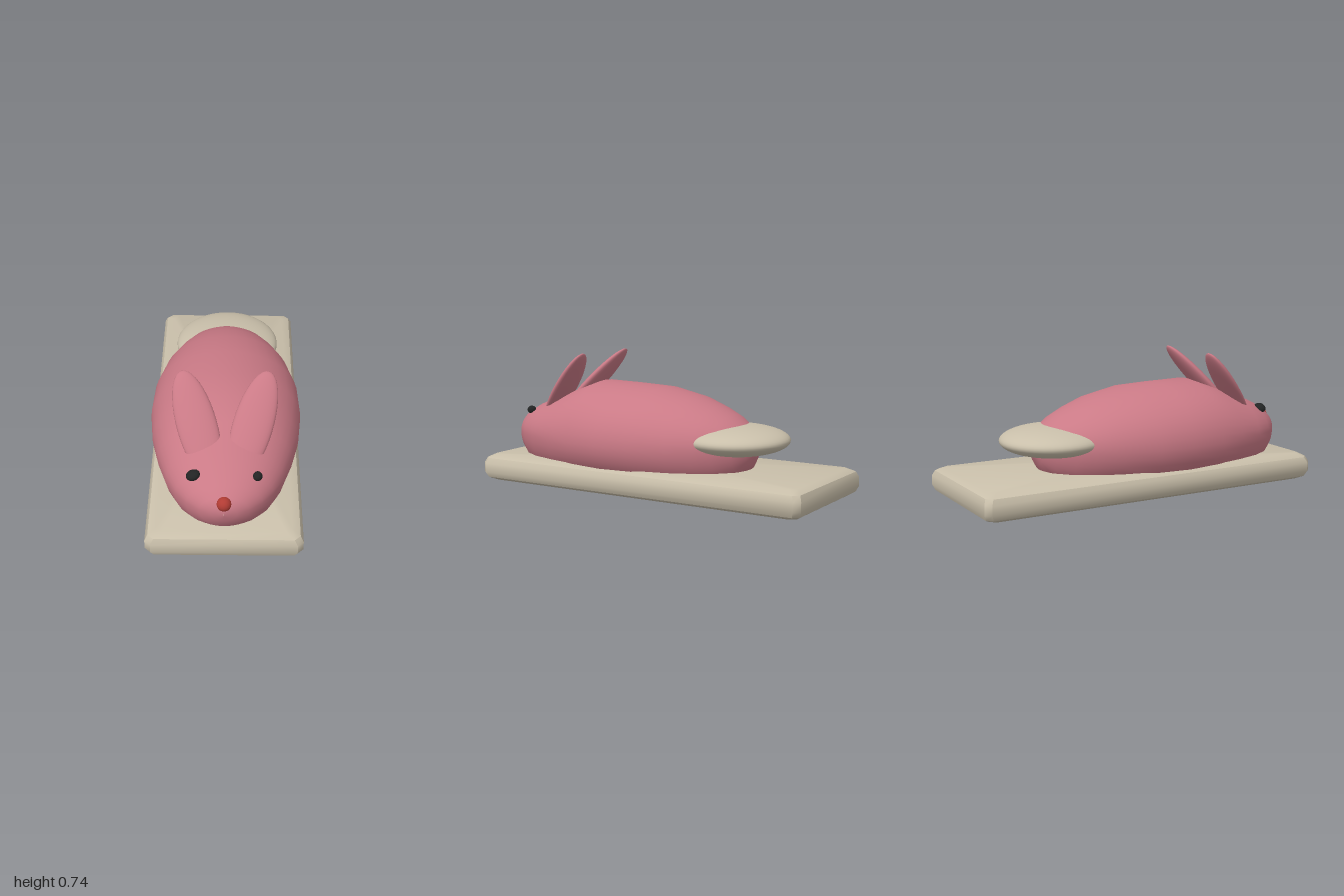
import * as THREE from 'three';
import { toCreasedNormals } from 'three/addons/utils/BufferGeometryUtils.js';

const material = (name, color) => {
  const m = new THREE.MeshStandardMaterial({ color });
  m.name = name;
  return m;
};

// Skins a list of closed rings (arrays of [x, y, z]) with shared vertices.
function loft(rings) {
  const n = rings[0].length;
  const index = [];
  for (let i = 0; i < rings.length - 1; i++) {
    for (let j = 0; j < n; j++) {
      const k = (j + 1) % n;
      const a = i * n + j, b = a + n, c = i * n + k, d = c + n;
      index.push(a, b, c, b, d, c);
    }
  }
  const geo = new THREE.BufferGeometry();
  geo.setAttribute('position', new THREE.Float32BufferAttribute(rings.flat(2), 3));
  geo.setIndex(index);
  geo.computeVertexNormals();
  return geo;
}

// Board: chamfered rectangles stacked upward, [y, inset]
function boardGeometry() {
  const levels = [[0, 0.06], [0.02, 0.018], [0.05, 0.002], [0.1, 0.002], [0.13, 0.018], [0.15, 0.06]];
  const c = 0.03;
  const rings = levels.map(([y, inset]) => {
    const x = 0.4 - inset, z = 1 - inset * 0.8;
    return [[x, z - c], [x - c, z], [c - x, z], [-x, z - c], [-x, c - z], [c - x, -z], [x - c, -z], [x, c - z]]
      .map(([px, pz]) => [px, y, pz]);
  });
  const centre = (y) => Array.from({ length: 8 }, () => [0, y, 0]);
  return toCreasedNormals(loft([centre(0), ...rings, centre(0.15)]), 0.6);
}

// Body: rounded sections from nose to rump, [z, half width, top, bottom]
function bodyGeometry() {
  const sections = [
    [0.953, 0.001, 0.28, 0.26], [0.945, 0.065, 0.32, 0.22], [0.92, 0.125, 0.352, 0.16],
    [0.87, 0.19, 0.39, 0.1], [0.8, 0.248, 0.428, 0.04], [0.7, 0.3, 0.468, 0],
    [0.55, 0.35, 0.522, -0.01], [0.4, 0.386, 0.578, -0.01], [0.2, 0.405, 0.573, -0.01],
    [0, 0.395, 0.565, -0.01], [-0.2, 0.345, 0.525, 0], [-0.33, 0.288, 0.478, 0.02],
    [-0.42, 0.235, 0.438, 0.05], [-0.5, 0.165, 0.385, 0.11], [-0.545, 0.09, 0.33, 0.18],
    [-0.565, 0.001, 0.27, 0.25],
  ];
  const n = 40, mid = 0.27;
  return loft(sections.map(([z, w, top, bottom]) => Array.from({ length: n }, (_, j) => {
    const a = (j / n) * Math.PI * 2;
    const s = Math.sin(a);
    const y = mid + s * (s > 0 ? top - mid : mid - bottom);
    return [w * Math.cos(a), Math.max(y, 0.1), z];
  })));
}

export function createModel() {
  const group = new THREE.Group();
  const pink = material('pink', 0xca7a86);
  const cream = material('cream', 0xc9bfaa);
  const red = material('red', 0xb23c34);
  const black = material('black', 0x222424);

  const add = (name, geo, mat) => {
    const mesh = new THREE.Mesh(geo, mat);
    mesh.name = name;
    group.add(mesh);
    return mesh;
  };
  const ellipsoid = (name, mat, position, radii, detail = 24) => {
    const mesh = add(name, new THREE.SphereGeometry(1, detail, Math.round(detail * 0.7)), mat);
    mesh.position.set(...position);
    mesh.scale.set(...radii);
    return mesh;
  };

  add('board', boardGeometry(), cream);
  add('body', bodyGeometry(), pink);

  // Broad flat tail
  ellipsoid('tail', cream, [0, 0.308, -0.44], [0.292, 0.083, 0.295], 40);

  // Flat ears, leaning back and splayed outward
  for (const side of [1, -1]) {
    const ear = ellipsoid(side > 0 ? 'leftEar' : 'rightEar', pink,
      [side * 0.14, 0.53, 0.585], [0.102, 0.287, 0.034], 28);
    ear.rotation.set(-0.709, 0, -side * 0.285);
  }

  // Face: the two eyes differ slightly in size
  ellipsoid('leftEye', black, [0.165, 0.395, 0.808], [0.024, 0.023, 0.026], 16);
  const rightEye = ellipsoid('rightEye', black, [-0.155, 0.395, 0.805], [0.037, 0.025, 0.032], 16);
  rightEye.rotation.z = 0.35;
  ellipsoid('nose', red, [0, 0.32, 0.928], [0.038, 0.038, 0.037], 16);

  return group;
}
